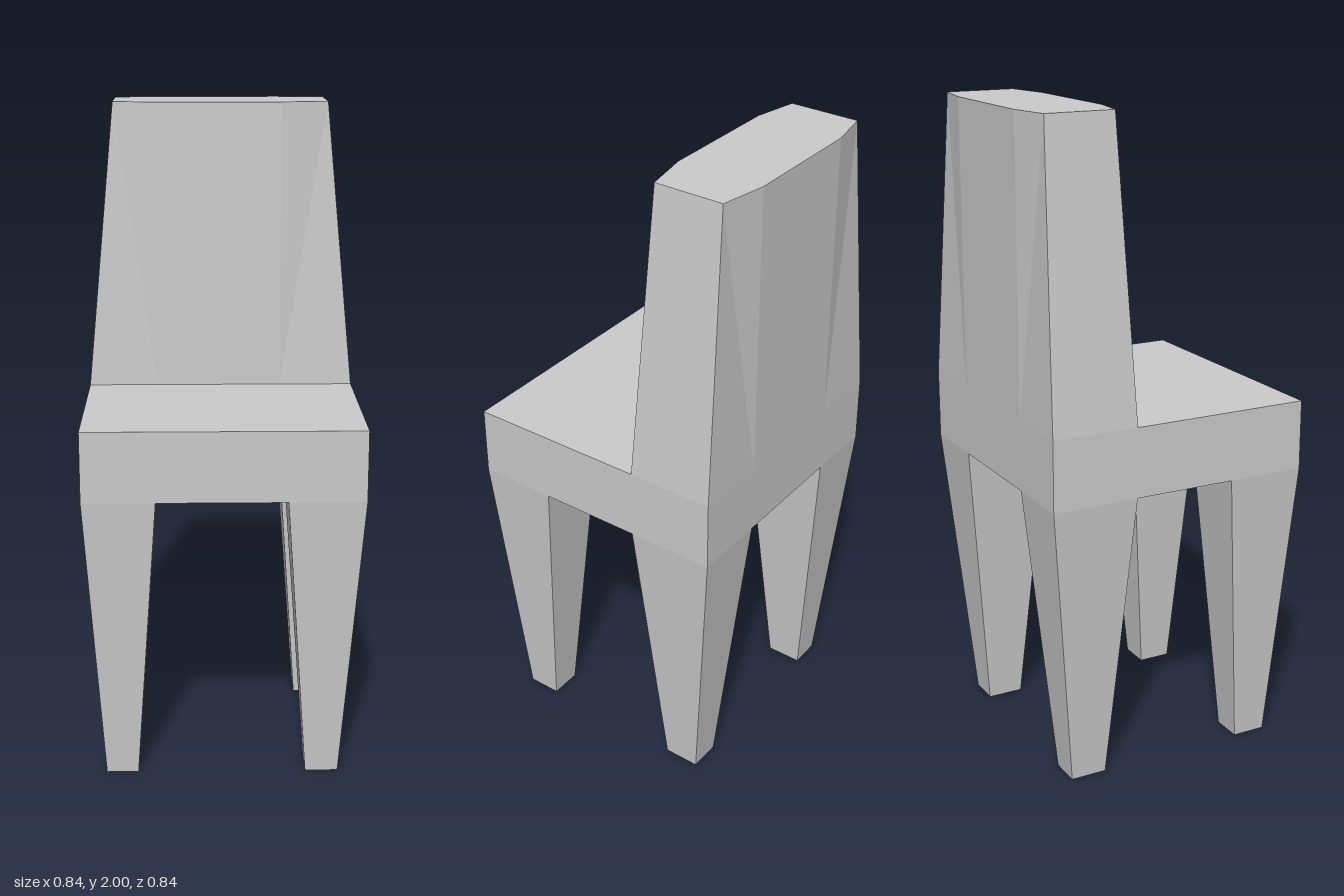
import * as THREE from 'three';

const material = new THREE.MeshStandardMaterial({ color: 0xcccccc, flatShading: true });
const SEAT_LOW = 0.895, SEAT_TOP = 1.11, TOP = 2, HALF = 0.418;

// Rectangle ring: front left, front right, back right, back left
const rect = (x0, x1, z0, z1) => [[x1, z1], [x0, z1], [x0, z0], [x1, z0]];

// Closed loft between two rings of [x, z] points; flip(i) picks the other diagonal of side i
function loft(name, low, yLow, high, yHigh, flip = () => false) {
  const n = low.length, pos = [];
  const b = (i) => [low[i % n][0], yLow, low[i % n][1]];
  const t = (i) => [high[i % n][0], yHigh, high[i % n][1]];
  for (let i = 0; i < n; i++) {
    const j = i + 1;
    if (flip(i)) pos.push(...b(j), ...b(i), ...t(j), ...b(i), ...t(i), ...t(j));
    else pos.push(...b(j), ...b(i), ...t(i), ...b(j), ...t(i), ...t(j));
  }
  for (let i = 1; i < n - 1; i++) {
    pos.push(...b(0), ...b(i), ...b(i + 1), ...t(0), ...t(i + 1), ...t(i));
  }
  const geometry = new THREE.BufferGeometry();
  geometry.setAttribute('position', new THREE.Float32BufferAttribute(pos, 3));
  geometry.computeVertexNormals();
  const mesh = new THREE.Mesh(geometry, material);
  mesh.name = name;
  return mesh;
}

export function createModel() {
  const chair = new THREE.Group();
  chair.name = 'chair';

  // Thick seat slab
  const seat = new THREE.Mesh(new THREE.BoxGeometry(2 * HALF, SEAT_TOP - SEAT_LOW, 2 * HALF), material);
  seat.position.y = (SEAT_TOP + SEAT_LOW) / 2;
  seat.name = 'seat';
  chair.add(seat);

  // Four tapered legs: x and z spans at the top, then at the foot
  const columns = [
    { side: 'Left', top: [0.188, HALF], foot: [0.252, 0.352] },
    { side: 'Right', top: [-HALF, -0.2], foot: [-0.36, -0.263] },
  ];
  const rows = [
    { end: 'front', top: [0.174, HALF], foot: [0.245, 0.35] },
    { end: 'back', top: [-HALF, -0.147], foot: [-0.338, -0.225] },
  ];
  for (const c of columns) {
    for (const r of rows) {
      chair.add(loft(`${r.end}${c.side}Leg`, rect(...c.foot, ...r.foot), 0, rect(...c.top, ...r.top), SEAT_LOW));
    }
  }

  // Backrest: flat middle, corners drawn in towards the top
  const ring = (x, zFront, zBack) => [
    [x, zFront], [0.188, -0.147], [-0.2, -0.147], [-x, zFront],
    [-x, zBack], [-0.2, -HALF], [0.188, -HALF], [x, zBack],
  ];
  chair.add(loft('backrest', ring(HALF, -0.147, -HALF), SEAT_TOP,
    ring(0.333, -0.175, -0.392), TOP, (i) => i % 4 === 2));

  return chair;
}
